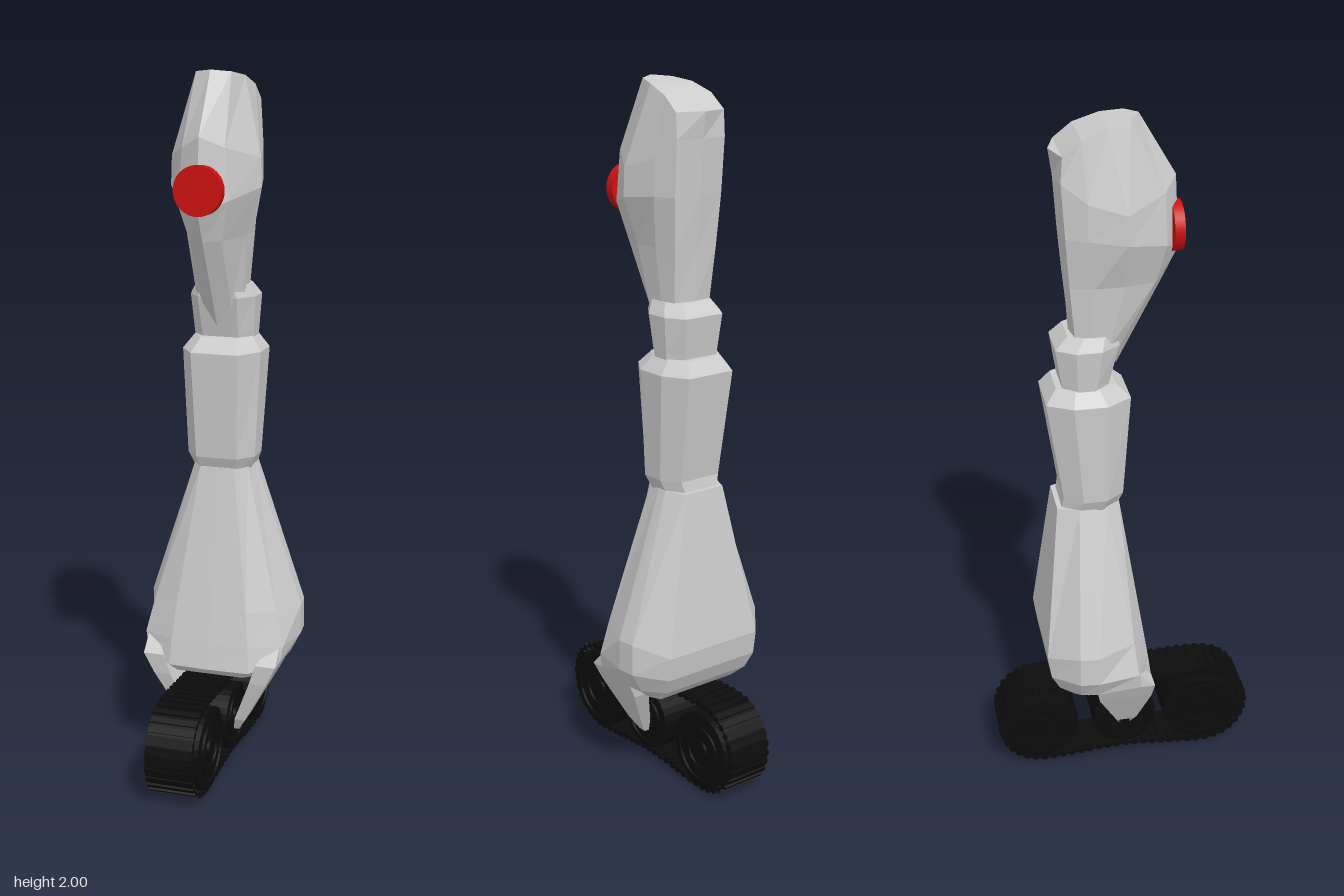
import * as THREE from 'three';
import { mergeGeometries } from 'three/addons/utils/BufferGeometryUtils.js';

const shell = new THREE.MeshStandardMaterial({ color: 0xcccccc, flatShading: true });
const rubber = new THREE.MeshStandardMaterial({ color: 0x0c0c0c, flatShading: true });
const red = new THREE.MeshStandardMaterial({ color: 0xcc1010 });

// Skin closed rings (listed bottom to top) and close both ends.
// Each ring runs front -> +x -> back -> -x.
function loft(rings) {
  const n = rings[0].length, pos = [];
  const quad = (a, b, c, d) => pos.push(...a, ...b, ...c, ...a, ...c, ...d);
  for (let r = 0; r + 1 < rings.length; r++) {
    for (let i = 0; i < n; i++) {
      const j = (i + 1) % n;
      quad(rings[r][i], rings[r][j], rings[r + 1][j], rings[r + 1][i]);
    }
  }
  const top = rings[rings.length - 1], bottom = rings[0];
  for (let i = 0; i < n / 2; i++) {
    const j = i + 1, mi = (n - i) % n, mj = (n - j) % n;
    quad(top[i], top[j], top[mj], top[mi]);
    quad(bottom[mi], bottom[mj], bottom[j], bottom[i]);
  }
  const g = new THREE.BufferGeometry();
  g.setAttribute('position', new THREE.Float32BufferAttribute(pos, 3));
  g.computeVertexNormals();
  return g;
}

// Complete a half ring (front centre to back centre) with its mirror image
const mirrored = (half) => [...half, ...half.slice(1, -1).reverse().map(([x, y, z]) => [-x, y, z])];

// Faceted oval ring: height, half width, front z, back z
function oval(y, w, zf, zb) {
  const d = zf - zb;
  return mirrored([[0, y, zf], [0.6 * w, y, zf], [w, y, zf - 0.3 * d],
    [w, y, zf - 0.7 * d], [0.65 * w, y, zb], [0, y, zb]]);
}

function add(parent, name, geometry, material) {
  const m = new THREE.Mesh(geometry, material);
  m.name = name;
  parent.add(m);
  return m;
}

export function createModel() {
  const model = new THREE.Group();
  model.name = 'robot';

  // Flared lower body with a rounded tail
  add(model, 'lowerBody', loft([
    [[0, 0.29, 0.065], [0.1, 0.285, 0.06], [0.13, 0.28, 0.02], [0.14, 0.275, -0.08], [0.14, 0.275, -0.12], [0.13, 0.28, -0.16], [0, 0.28, -0.16]],
    [[0, 0.305, 0.08], [0.12, 0.305, 0.075], [0.2, 0.33, 0.028], [0.2, 0.32, -0.1], [0.19, 0.32, -0.15], [0.145, 0.32, -0.205], [0, 0.32, -0.205]],
    [[0, 0.38, 0.07], [0.115, 0.38, 0.065], [0.21, 0.38, 0.02], [0.23, 0.38, -0.1], [0.225, 0.38, -0.155], [0.155, 0.37, -0.23], [0, 0.37, -0.23]],
    [[0, 0.48, 0.055], [0.105, 0.48, 0.05], [0.185, 0.48, 0.01], [0.23, 0.47, -0.1], [0.225, 0.47, -0.155], [0.155, 0.44, -0.24], [0, 0.44, -0.24]],
    [[0, 0.89, -0.01], [0.05, 0.89, -0.01], [0.08, 0.89, -0.05], [0.09, 0.89, -0.1], [0.09, 0.89, -0.13], [0.065, 0.89, -0.19], [0, 0.89, -0.19]],
  ].map(mirrored)), shell);

  add(model, 'chest', loft([
    oval(0.87, 0.08, -0.02, -0.18), oval(0.92, 0.1, 0, -0.17),
    oval(1.225, 0.115, 0.02, -0.215), oval(1.265, 0.085, -0.02, -0.185),
  ]), shell);

  add(model, 'neck', loft([
    oval(1.24, 0.085, -0.045, -0.165), oval(1.28, 0.088, -0.035, -0.17),
    oval(1.38, 0.095, -0.01, -0.185), oval(1.415, 0.075, -0.01, -0.15),
  ]), shell);

  // Head: pointed at the front, arched on top
  add(model, 'head', loft([
    [[0, 1.3, -0.01], [0.04, 1.36, -0.01], [0.07, 1.38, -0.04], [0.07, 1.39, -0.09], [0.06, 1.4, -0.13], [0, 1.4, -0.14]],
    [[0, 1.55, 0.12], [0.045, 1.55, 0.09], [0.085, 1.56, 0], [0.085, 1.56, -0.08], [0.07, 1.56, -0.145], [0, 1.56, -0.15]],
    [[0, 1.63, 0.16], [0.07, 1.66, 0.115], [0.13, 1.69, 0], [0.105, 1.7, -0.1], [0.078, 1.7, -0.155], [0, 1.7, -0.165]],
    [[0, 1.83, 0.15], [0.06, 1.8, 0.11], [0.127, 1.77, 0], [0.105, 1.8, -0.1], [0.08, 1.85, -0.165], [0, 1.85, -0.175]],
    [[0, 2, 0.05], [0.05, 1.995, 0.02], [0.07, 1.985, -0.04], [0.078, 1.96, -0.11], [0.08, 1.92, -0.16], [0, 1.92, -0.185]],
  ].map(mirrored)), shell);

  const eye = add(model, 'eye', new THREE.CylinderGeometry(0.068, 0.068, 0.028, 32), red);
  eye.rotation.x = Math.PI / 2;
  eye.position.set(0, 1.69, 0.15);

  // Tapered fork blades: inner x, outer x, y, front z, back z
  const blade = [[0.06, 0.075, 0.1, 0.012, -0.012], [0.068, 0.1, 0.14, 0.035, -0.03],
    [0.12, 0.17, 0.27, 0.065, -0.09], [0.14, 0.2, 0.33, 0.07, -0.1], [0.17, 0.2, 0.38, 0.02, -0.1]];
  for (const side of [1, -1]) {
    add(model, side > 0 ? 'leftFork' : 'rightFork', loft(blade.map(([a, b, y, zf, zb]) => {
      const [lo, hi] = side > 0 ? [a, b] : [-b, -a];
      return [[lo, y, zf], [hi, y, zf], [hi, y, zb], [lo, y, zb]];
    })), shell);
  }

  const track = new THREE.Group();
  track.name = 'track';
  track.position.x = -0.0125;
  model.add(track);

  // Wheels with concentric steps on both faces
  for (const [name, z, y, r] of [['frontWheel', 0.24, 0.14, 0.118], ['middleWheel', 0, 0.14, 0.097], ['rearWheel', -0.255, 0.135, 0.113]]) {
    const face = [[0, 0.078], [0.25, 0.078], [0.25, 0.07], [0.45, 0.07], [0.45, 0.077],
      [0.65, 0.077], [0.65, 0.07], [0.82, 0.07], [0.82, 0.077], [1, 0.074]];
    const profile = [...face.map(([k, h]) => new THREE.Vector2(k * r, -h)),
      ...face.slice().reverse().map(([k, h]) => new THREE.Vector2(k * r, h))];
    const wheel = add(track, name, new THREE.LatheGeometry(profile, 32), rubber);
    wheel.rotation.z = Math.PI / 2;
    wheel.position.set(0, y, z);
  }

  const axle = add(track, 'axle', new THREE.CylinderGeometry(0.02, 0.02, 0.16, 12), rubber);
  axle.rotation.z = Math.PI / 2;
  axle.position.y = 0.14;

  // Belt path: round ends with a slight waist
  const path = [];
  for (const s of [1, -1]) {
    for (let i = 0; i <= 8; i++) {
      const a = (i / 8) * Math.PI;
      path.push(new THREE.Vector3(0, 0.14 + s * 0.128 * Math.cos(a), s * (0.247 + 0.128 * Math.sin(a))));
    }
    path.push(new THREE.Vector3(0, s > 0 ? 0.028 : 0.262, 0));
  }
  const curve = new THREE.CatmullRomCurve3(path, true, 'centripetal');
  const count = 64, length = curve.getLength() / count, links = [];
  for (let i = 0; i < count; i++) {
    const p = curve.getPointAt(i / count), t = curve.getTangentAt(i / count);
    for (const [thick, long] of [[0.007, length * 1.1], [0.019, length * 0.5]]) {
      links.push(new THREE.BoxGeometry(0.136, thick, long)
        .rotateX(Math.atan2(-t.y, t.z)).translate(-0.005, p.y, p.z));
    }
  }
  add(track, 'treadBelt', mergeGeometries(links), rubber);

  return model;
}
